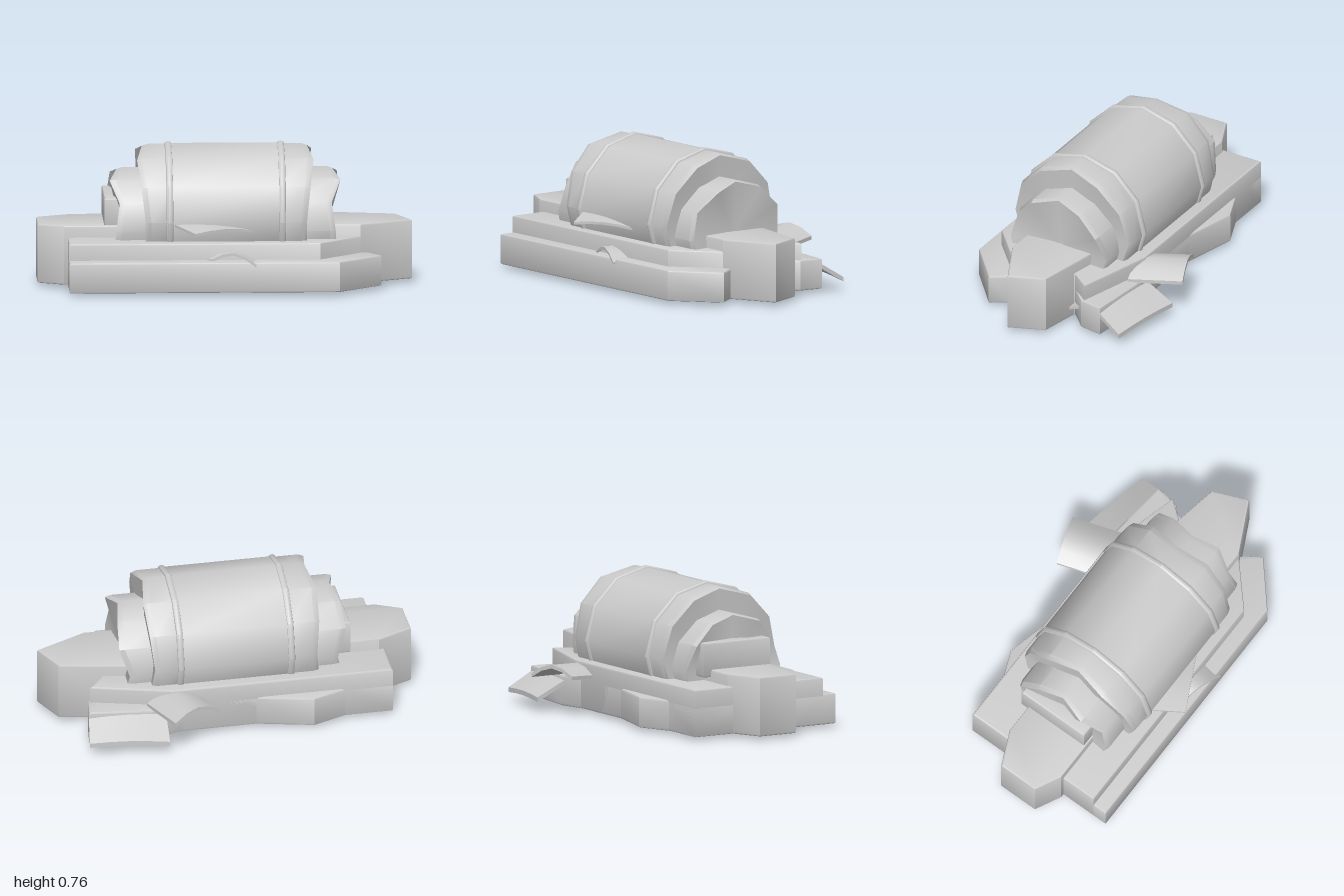
import * as THREE from 'three';
import { toCreasedNormals } from 'three/addons/utils/BufferGeometryUtils.js';

const grey = new THREE.MeshStandardMaterial({ color: 0xcccccc });
const AXIS_Z = 0.07;

function part(group, name, geometry, crease = 0.6) {
  const mesh = new THREE.Mesh(toCreasedNormals(geometry, crease), grey);
  mesh.name = name;
  group.add(mesh);
  return mesh;
}

// Bevelled slab standing on the ground plane, outlined by [x, z] points
function slab(outline, y0, y1) {
  const b = 0.01;
  const shape = new THREE.Shape(outline.map(([x, z]) => new THREE.Vector2(x, -z)));
  const geo = new THREE.ExtrudeGeometry(shape, {
    depth: y1 - y0 - 2 * b, bevelEnabled: true,
    bevelSize: b, bevelThickness: b, bevelOffset: -b, bevelSegments: 2,
  });
  return geo.rotateX(-Math.PI / 2).translate(0, y0 + b, 0);
}

// Twelve-sided drum along x from [radius, x] points; jag shifts each rim corner
function drum(profile, cy, jag) {
  const geo = new THREE.LatheGeometry(profile.map(([r, x]) => new THREE.Vector2(r, x)), 12);
  geo.rotateZ(-Math.PI / 2);
  if (jag) {
    const p = geo.attributes.position;
    const end = Math.max(...profile.map((q) => Math.abs(q[1])));
    for (let i = 0; i < p.count; i++) {
      const x = p.getX(i);
      const y = p.getY(i);
      const z = p.getZ(i);
      if (Math.abs(x) < end - 0.05 || Math.hypot(y, z) < 0.1) continue;
      const k = (Math.round(Math.atan2(y, z) / (Math.PI / 6)) + 12) % 12;
      p.setX(i, x + Math.sign(x) * jag[k]);
    }
  }
  return geo.translate(0, cy, AXIS_Z);
}

// Closed drum section, its torn rim at side * x1
function endSection(side, x0, x1, r, cy, jag) {
  const profile = [[0, x0], [r, x0], [r, x1 - 0.03], [r * 0.97, x1], [0, x1 - 0.03]];
  const turned = profile.map(([q, x]) => [q, side * x]);
  return drum(side > 0 ? turned : turned.reverse(), cy, jag);
}

// Thin plate between corners a (back left), b, c (front right), d, arched along its width
function plate(a, b, c, d, thick, lift) {
  const geo = new THREE.BoxGeometry(1, thick, 1, 4, 1, 1);
  const [A, B, C, D] = [a, b, c, d].map((q) => new THREE.Vector3(...q));
  const p = geo.attributes.position;
  for (let i = 0; i < p.count; i++) {
    const u = p.getX(i) + 0.5;
    const v = p.getZ(i) + 0.5;
    const q = A.clone().lerp(B, u).lerp(D.clone().lerp(C, u), v);
    p.setXYZ(i, q.x, q.y + p.getY(i) + lift * Math.sin(Math.PI * u), q.z);
  }
  return geo;
}

export function createModel() {
  const model = new THREE.Group();
  model.name = 'wreckedDrum';

  // Stepped base
  part(model, 'lowerStep', slab([
    [-0.84, 0.55], [0.6, 0.55], [0.83, 0.35], [0.77, 0.26], [0.7, 0.2], [0.7, -0.11],
    [0.79, -0.2], [0.81, -0.33], [0.45, -0.37], [0.3, -0.335], [-0.1, -0.335],
    [-0.4, -0.41], [-0.58, -0.335], [-0.84, -0.335],
  ], 0.02, 0.185), 0.4);
  part(model, 'middleStep', slab([
    [-0.84, 0.47], [0.5, 0.47], [0.72, 0.27], [0.7, -0.11], [0.78, -0.215],
    [0.35, -0.335], [-0.84, -0.335],
  ], 0.02, 0.275), 0.4);
  part(model, 'centralBeam', slab([
    [-1, 0.2], [-0.86, 0.27], [0.72, 0.27], [1, 0.13], [0.92, -0.06],
    [0.55, -0.13], [-0.3, -0.11], [-0.81, -0.11], [-1, -0.025],
  ], 0.02, 0.34), 0.4);

  // Drum body and hoops
  part(model, 'drumBody', drum([[0, -0.31], [0.37, -0.31], [0.37, 0.31], [0, 0.31]], 0.38));
  for (const x of [-0.3, 0.3]) {
    part(model, 'drumHoop', drum([
      [0.36, x - 0.02], [0.374, x - 0.016], [0.38, x - 0.006],
      [0.38, x + 0.006], [0.374, x + 0.016], [0.36, x + 0.02],
    ], 0.38));
  }

  // Torn outer sections and narrower ends, rim offsets running front, top, back, bottom
  const wide = [-0.02, 0.0, 0.02, -0.01, 0.02, 0.01, -0.01, 0.01, -0.02, 0.01, 0, -0.02];
  const narrow = [0.0, -0.02, 0.03, -0.01, 0.02, 0.03, -0.02, 0.01, -0.01, 0.02, 0, 0.01];
  for (const side of [-1, 1]) {
    part(model, 'tornSection', endSection(side, 0.3, 0.45, 0.366, 0.38, wide));
    part(model, 'tornEnd', endSection(side, 0.35, 0.585, 0.3, 0.32, narrow));
  }

  // Block against the right-hand end
  part(model, 'endBlock', slab(
    [[-0.645, -0.155], [-0.645, 0.26], [-0.42, 0.26], [-0.42, -0.155]], 0.3, 0.485), 0.4);

  // Loose plates around the base
  part(model, 'fallenPlate', plate(
    [0.41, 0.07, -0.54], [0.83, 0.06, -0.46], [0.81, 0.14, -0.33], [0.4, 0.15, -0.38], 0.025, 0.01));
  part(model, 'archedPlate', plate(
    [0.13, 0.22, -0.5], [0.39, 0.21, -0.59], [0.49, 0.19, -0.31], [0.21, 0.2, -0.27], 0.02, 0.055));
  part(model, 'drumShard', plate(
    [-0.3, 0.37, 0.4], [0.05, 0.35, 0.32], [0.14, 0.332, 0.425], [-0.17, 0.338, 0.58], 0.014, 0.015));
  part(model, 'frontShard', plate(
    [-0.14, 0.18, 0.42], [0.17, 0.17, 0.43], [0.155, 0.165, 0.57], [-0.08, 0.185, 0.5], 0.014, 0.05));
  part(model, 'sideShard', plate(
    [0.62, 0.13, -0.19], [0.76, 0.125, -0.19], [0.76, 0.095, -0.11], [0.62, 0.095, -0.11], 0.015, 0));

  return model;
}
